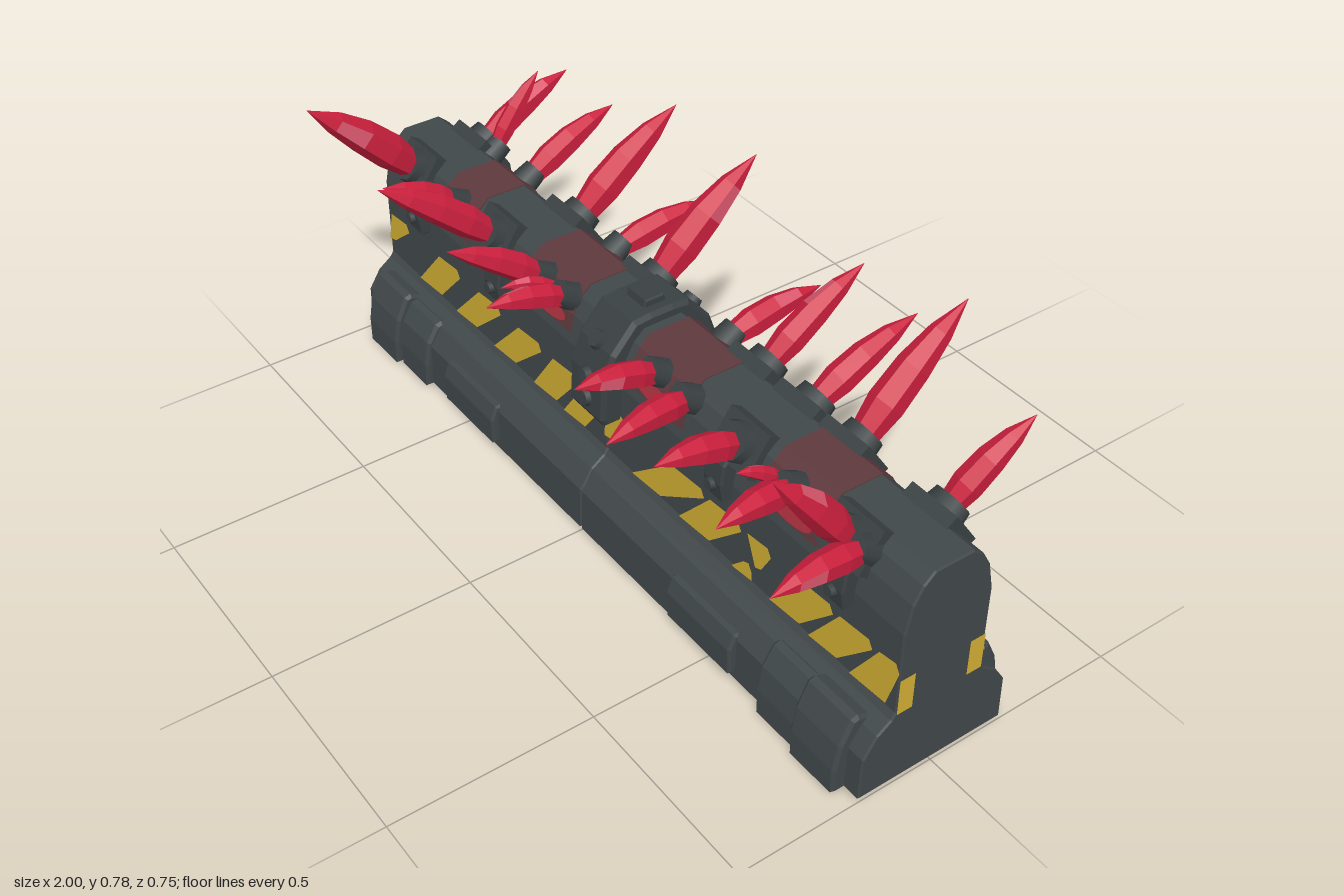
import * as THREE from 'three';

const mat = (name, color, flat = false) => {
  const m = new THREE.MeshStandardMaterial({ color, flatShading: flat });
  m.name = name;
  return m;
};

export function createModel() {
  const concrete = mat('dark concrete', 0x41484a);
  const metal = mat('dark metal', 0x3a4143);
  const yellow = mat('hazard yellow', 0xd2af34);
  const red = mat('crystal red', 0xcb1f3d, true);
  const pink = mat('crystal pink', 0xd9566c, true);
  const faint = mat('faint glow', 0x5e393d);
  const glow = mat('bright glow', 0xb0323f);
  yellow.side = faint.side = glow.side = THREE.DoubleSide;

  const root = new THREE.Group();
  const add = (name, geo, material, parent = root) => {
    const m = new THREE.Mesh(geo, material);
    m.name = name;
    parent.add(m);
    return m;
  };

  // Extrude a [z, y] outline along x from x0 to x1
  const alongX = (pts, x0, x1, bevel = 0) => {
    const shape = new THREE.Shape(pts.map(([z, y]) => new THREE.Vector2(-z, y)));
    const g = new THREE.ExtrudeGeometry(shape, {
      depth: x1 - x0 - 2 * bevel, bevelEnabled: bevel > 0, bevelSize: bevel,
      bevelThickness: bevel, bevelOffset: -bevel, bevelSegments: 1,
    });
    return g.rotateY(Math.PI / 2).translate(x0 + bevel, 0, 0);
  };
  const mirrored = (half) => [...half, ...half.map(([z, y]) => [-z, y]).reverse()];

  // Barrier body in two halves meeting at a seam
  const bodyHalf = [[0.195, 0.012], [0.192, 0.125], [0.16, 0.175], [0.125, 0.2], [0.115, 0.215],
    [0.115, 0.43], [0.1, 0.5], [0.078, 0.54], [0.05, 0.565]];
  for (const [a, b] of [[-1, 0], [0, 1]]) add('barrierBody', alongX(mirrored(bodyHalf), a, b, 0.004), concrete);

  // Centre strap with bolts
  add('centreStrap', alongX(mirrored([[0.155, 0.33], [0.166, 0.35], [0.16, 0.45], [0.135, 0.52],
    [0.075, 0.588], [0.03, 0.592]]), -0.08, 0.055, 0.01), metal);
  add('strapCap', alongX(mirrored([[0.032, 0.58], [0.026, 0.61]]), -0.045, 0.025, 0.004), metal);

  const bolt = (x, y, z, tilt, r = 0.02) => {
    const m = add('bolt', new THREE.CylinderGeometry(r * 0.8, r, 0.02, 8), metal);
    m.position.set(x, y, z);
    m.rotation.x = tilt;
  };

  // Feet, base panels, strap bolts and stripes on each side
  const foot = (s, k) => [[0.13, 0.004], [0.225 - k, 0.004], [0.225 - k, 0.07], [0.214 - k, 0.135],
    [0.186 - k, 0.195 - k], [0.168 - k, 0.2 - k], [0.12, 0.18 - k]].map(([z, y]) => [s * z, y]);
  const panel = (s) => [[0.17, 0.03], [0.21, 0.03], [0.212, 0.1], [0.198, 0.138], [0.17, 0.14]]
    .map(([z, y]) => [s * z, y]);
  // [bottom left, bottom right, top left, top right, bottom y, top y]
  const stripes = [[-1, -0.97, -0.98, -0.89, 0.255, 0.348], [-0.85, -0.74, -0.74, -0.64],
    [-0.67, -0.57, -0.55, -0.45], [-0.49, -0.39, -0.37, -0.27], [-0.31, -0.21, -0.22, -0.12],
    [-0.18, -0.09, -0.09, -0.01], [-0.01, 0.03, 0.0, 0.075, 0.25], [0.1, 0.21, 0.25, 0.37],
    [0.28, 0.39, 0.39, 0.5], [0.55, 0.57, 0.52, 0.6, 0.265], [0.47, 0.54, 0.51, 0.54, 0.21, 0.26],
    [0.6, 0.7, 0.68, 0.8], [0.73, 0.82, 0.82, 0.92], [0.86, 0.97, 0.94, 1.0]];
  for (const s of [1, -1]) {
    for (const e of [1, -1]) {
      const span = (a, b) => (e > 0 ? [a, b] : [-b, -a]);
      add('footOuter', alongX(foot(s, 0), ...span(0.81, 0.955), 0.008), concrete);
      add('footInner', alongX(foot(s, 0.014), ...span(0.68, 0.815), 0.008), concrete);
      add('basePanel', alongX(panel(s), ...span(0.36, 0.59), 0.006), concrete);
      // Stripe wrapping round the end of the wall
      const wrap = add('endStripe', new THREE.PlaneGeometry(0.04, 0.095), yellow);
      wrap.position.set(e * 1.001, 0.258, s * 0.093);
      wrap.rotation.y = e * Math.PI / 2;
    }
    bolt(-0.012, 0.385, s * 0.166, s * 1.5, 0.026);
    bolt(-0.012, 0.445, s * 0.164, s * 1.4, 0.022);
    bolt(-0.012, 0.53, s * 0.13, s * 0.85, 0.026);
    const side = new THREE.Group();
    side.name = 'hazardStripes';
    side.rotation.y = s > 0 ? 0 : Math.PI;
    root.add(side);
    for (const [a, b, c, d, y0 = 0.213, y1 = 0.348] of stripes) {
      const shape = new THREE.Shape([[a, y0], [b, y0 + 0.008], [d, y1 - 0.02], [d - 0.012, y1], [c, y1 - 0.008]]
        .map((p) => new THREE.Vector2(...p)));
      add('stripe', new THREE.ShapeGeometry(shape).translate(0, 0, 0.1175), yellow, side);
    }
  }

  // Glow skins over the top of the wall, with brighter pools on the shoulders
  const skin = mirrored([[0.1125, 0.455], [0.1032, 0.502], [0.081, 0.5425], [0.052, 0.5675]]);
  for (const [x, w] of [[-0.66, 0.14], [-0.25, 0.2], [0.18, 0.2], [0.64, 0.18]]) {
    add('glowSkin', alongX(skin, x - w / 2, x + w / 2), faint);
    for (const s of [1, -1]) {
      const pool = add('glowPool', new THREE.CircleGeometry(1, 16), glow);
      pool.scale.set(w * 0.38, 0.022, 1);
      pool.position.set(x, 0.48, s * 0.109);
      pool.rotation.set(s > 0 ? -0.21 : Math.PI + 0.21, 0, 0);
    }
  }

  // Bowed six-sided crystal from base to tip
  const rings = [0.7, 1, 0.92, 0.62, 0.012];
  const crystal = (base, tip, r, turn) => {
    const sides = 6, rows = 4;
    const g = new THREE.CylinderGeometry(1, 1, 1, sides, rows, true);
    const d = tip.clone().sub(base);
    const dir = d.clone().normalize();
    const u = new THREE.Vector3(1, 0, 0).addScaledVector(dir, -dir.x).normalize();
    const v = new THREE.Vector3().crossVectors(u, dir);
    const p = g.attributes.position;
    const q = new THREE.Vector3();
    for (let i = 0; i < p.count; i++) {
      const t = p.getY(i) + 0.5;
      const k = r * rings[Math.round(t * rows)];
      q.copy(base).addScaledVector(d, t).addScaledVector(u, p.getX(i) * k).addScaledVector(v, p.getZ(i) * k);
      q.y += Math.sin(t * Math.PI) * 0.012;
      p.setXYZ(i, q.x, q.y, q.z);
    }
    // A pale facet near the tip
    g.clearGroups();
    for (let f = 0; f < sides * rows; f++) {
      const pale = Math.floor(f / rows) === turn % sides && f % rows === 1;
      g.addGroup(f * 6, 6, pale ? 1 : 0);
    }
    const flat = g.toNonIndexed();
    flat.computeVertexNormals();
    add('crystalSpike', flat, [red, pink]);
  };

  // Socket plate on the shoulder, with a collar and optional side clip
  const socket = (x, s, big, clipX) => {
    const g = new THREE.Group();
    g.name = 'spikeSocket';
    g.position.set(x, 0.53, s * 0.086);
    g.rotation.x = s * 0.98;
    root.add(g);
    if (big) add('socketPlate', new THREE.BoxGeometry(0.13, 0.035, 0.105), metal, g);
    const r = big ? 0.052 : 0.036;
    add('socketCollar', new THREE.CylinderGeometry(r * 0.85, r, 0.05, 8), metal, g).position.y = 0.02;
    if (clipX === undefined) return;
    add('sideClip', alongX([[0.1, 0.39], [0.137, 0.39], [0.146, 0.44], [0.14, 0.49], [0.11, 0.535], [0.08, 0.52]]
      .map(([z, y]) => [s * z, y]), clipX - 0.033, clipX + 0.033, 0.005), metal);
    bolt(clipX, 0.43, s * 0.147, s * 1.5, 0.017);
  };

  // [base x, tip x, tip y, tip z, radius, big socket, clip x]
  const spikes = [
    [-0.86, -0.865, 0.785, 0.37, 0.046, 1, -0.81], [-0.66, -0.67, 0.64, 0.29, 0.03],
    [-0.49, -0.535, 0.735, 0.37, 0.04, 1, -0.44], [-0.28, -0.315, 0.67, 0.325, 0.035],
    [-0.18, -0.18, 0.59, 0.31, 0.032], [-0.23, -0.25, 0.57, 0.23, 0.018],
    [0.17, 0.19, 0.605, 0.325, 0.034], [0.28, 0.335, 0.565, 0.345, 0.034],
    [0.46, 0.48, 0.6, 0.33, 0.036, 1, 0.43], [0.63, 0.67, 0.57, 0.32, 0.034], [0.6, 0.59, 0.6, 0.21, 0.018],
    [0.81, 0.79, 0.755, 0.285, 0.038, 1, 0.82], [0.85, 0.875, 0.565, 0.35, 0.034],
    [-0.86, -0.865, 0.66, -0.36, 0.036, 1, -0.83], [-0.81, -0.81, 0.72, -0.24, 0.026],
    [-0.65, -0.65, 0.66, -0.355, 0.036], [-0.43, -0.41, 0.765, -0.375, 0.044, 1, -0.44],
    [-0.27, -0.23, 0.6, -0.35, 0.034], [-0.11, -0.095, 0.785, -0.37, 0.044, 1],
    [0.16, 0.17, 0.58, -0.355, 0.034], [0.29, 0.31, 0.72, -0.35, 0.036, 1],
    [0.45, 0.47, 0.675, -0.365, 0.036, 1, 0.43], [0.6, 0.6, 0.785, -0.375, 0.042, 1],
    [0.86, 0.9, 0.72, -0.285, 0.034, 1, 0.83],
  ];
  spikes.forEach(([bx, tx, ty, tz, r, big, clip], i) => {
    const s = Math.sign(tz);
    crystal(new THREE.Vector3(bx, 0.535, s * 0.1), new THREE.Vector3(tx, ty, tz), r, i * 5 + 1);
    if (r > 0.02) socket(bx, s, big, clip);
  });

  return root;
}
